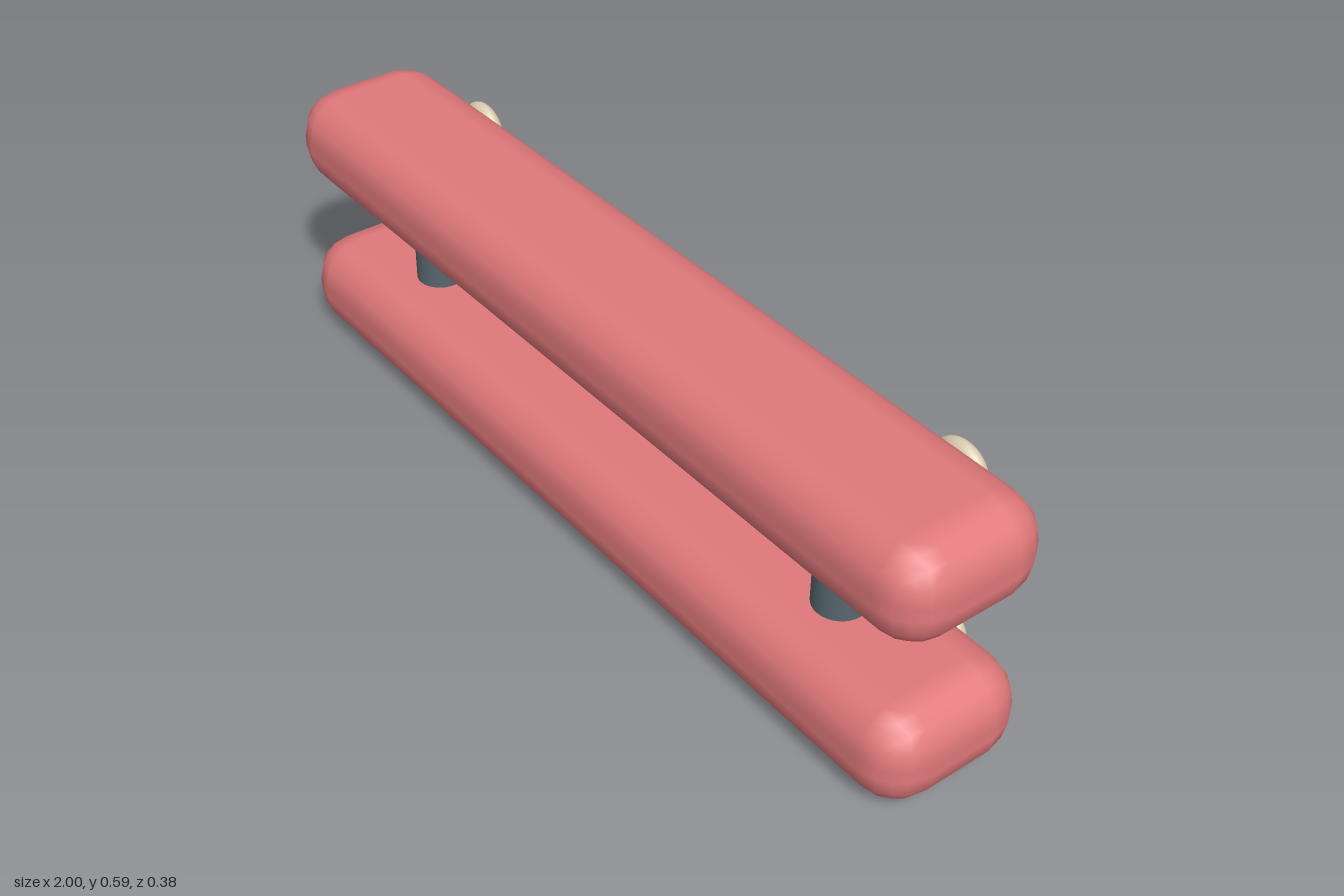
import * as THREE from 'three';
import { RoundedBoxGeometry } from 'three/addons/geometries/RoundedBoxGeometry.js';

const material = (name, color) => {
  const m = new THREE.MeshStandardMaterial({ color });
  m.name = name;
  return m;
};

export function createModel() {
  const model = new THREE.Group();
  model.name = 'doubleBar';

  const red = material('softRed', 0xe0787a);
  const slate = material('slateGrey', 0x56666c);
  const cream = material('cream', 0xdacdb2);

  const add = (name, geometry, mat, x, y, z) => {
    const mesh = new THREE.Mesh(geometry, mat);
    mesh.name = name;
    mesh.position.set(x, y, z);
    model.add(mesh);
  };

  // Two padded bars, each with a pair of flattened buttons on its back
  const bar = new RoundedBoxGeometry(2, 0.217, 0.34, 2, 0.096);
  const button = new THREE.SphereGeometry(0.066, 32, 20).scale(1, 1, 0.455);
  for (const [level, y] of [['lower', 0.11], ['upper', 0.487]]) {
    add(level + 'Bar', bar, red, 0, y, 0.02);
    add(level + 'LeftButton', button, cream, 0.75, y, -0.16);
    add(level + 'RightButton', button, cream, -0.75, y, -0.16);
  }

  // Round posts joining the bars
  const post = new THREE.CylinderGeometry(0.054, 0.054, 0.26, 32);
  add('leftPost', post, slate, 0.667, 0.2985, 0.022);
  add('rightPost', post, slate, -0.667, 0.2985, 0.022);

  return model;
}
